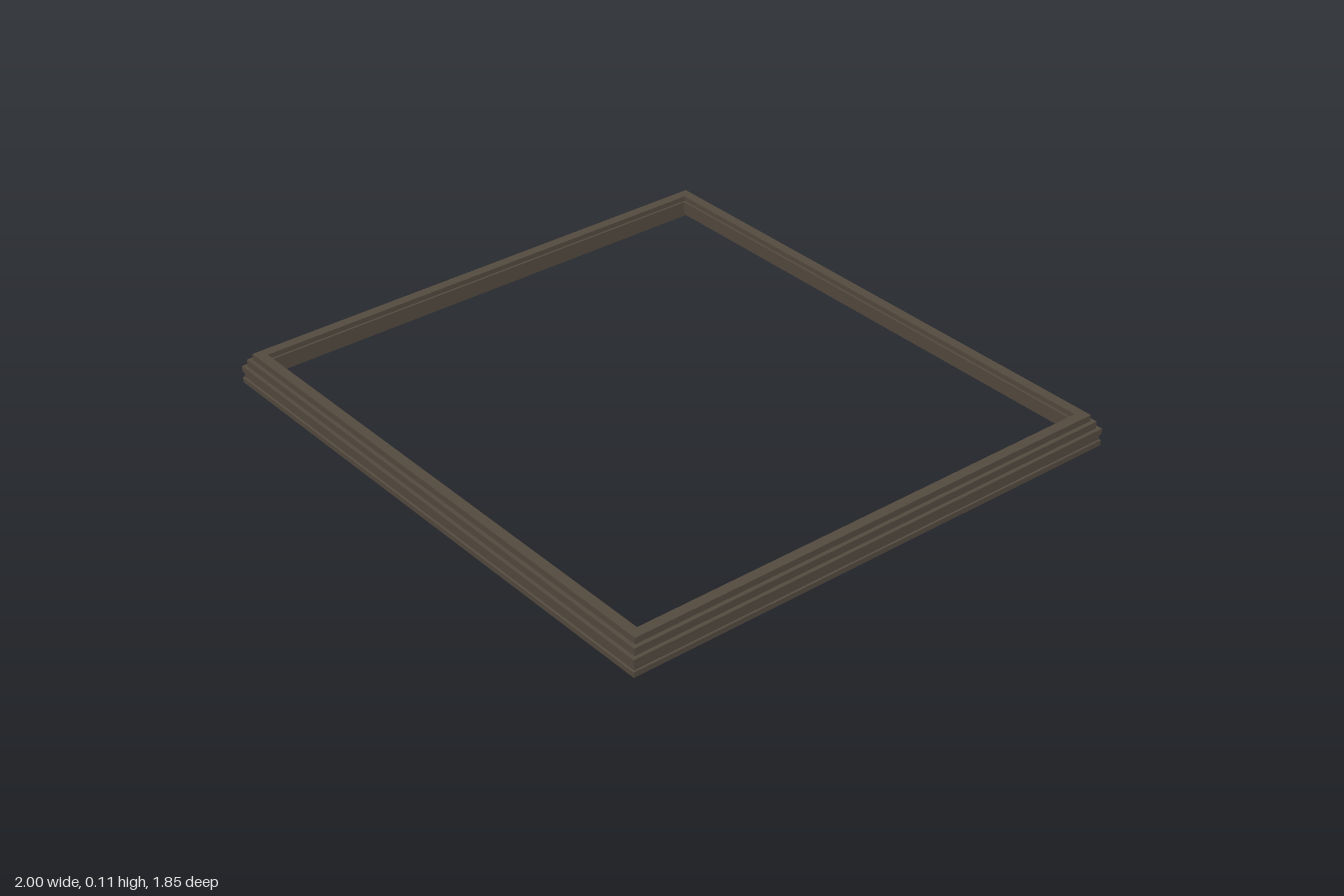
import * as THREE from 'three';

const HALF_X = 1, HALF_Z = 0.925;

// Moulding cross-section: [distance in from the outer edge, height]
const PROFILE = [
  [0, 0], [0, 0.018], [0.005, 0.02], [0.005, 0.038], [0, 0.04], [0, 0.06],
  [0.013, 0.06], [0.013, 0.085], [0.027, 0.085], [0.027, 0.107],
  [0.062, 0.107], [0.062, 0.09], [0.07, 0.09], [0.07, 0.05],
  [0.045, 0.05], [0.045, 0.025], [0.018, 0.025], [0.018, 0],
];

// One mitred rail facing +z, sweeping the profile along x
function railGeometry(halfLength, distance) {
  const positions = [];
  PROFILE.forEach(([d0, y0], i) => {
    const [d1, y1] = PROFILE[(i + 1) % PROFILE.length];
    const a = [d0 - halfLength, y0, distance - d0];
    const b = [halfLength - d0, y0, distance - d0];
    const c = [halfLength - d1, y1, distance - d1];
    const d = [d1 - halfLength, y1, distance - d1];
    positions.push(...a, ...b, ...c, ...a, ...c, ...d);
  });
  const geometry = new THREE.BufferGeometry();
  geometry.setAttribute('position', new THREE.Float32BufferAttribute(positions, 3));
  geometry.computeVertexNormals();
  return geometry;
}

export function createModel() {
  const group = new THREE.Group();
  group.name = 'mouldedFrame';
  const material = new THREE.MeshStandardMaterial({ color: 0x544a3f });

  // Four rails, each turned a quarter from the last
  ['frontRail', 'leftRail', 'backRail', 'rightRail'].forEach((name, i) => {
    const geometry = i % 2 === 0 ? railGeometry(HALF_X, HALF_Z) : railGeometry(HALF_Z, HALF_X);
    const rail = new THREE.Mesh(geometry, material);
    rail.name = name;
    rail.rotation.y = i * Math.PI / 2;
    group.add(rail);
  });
  return group;
}
